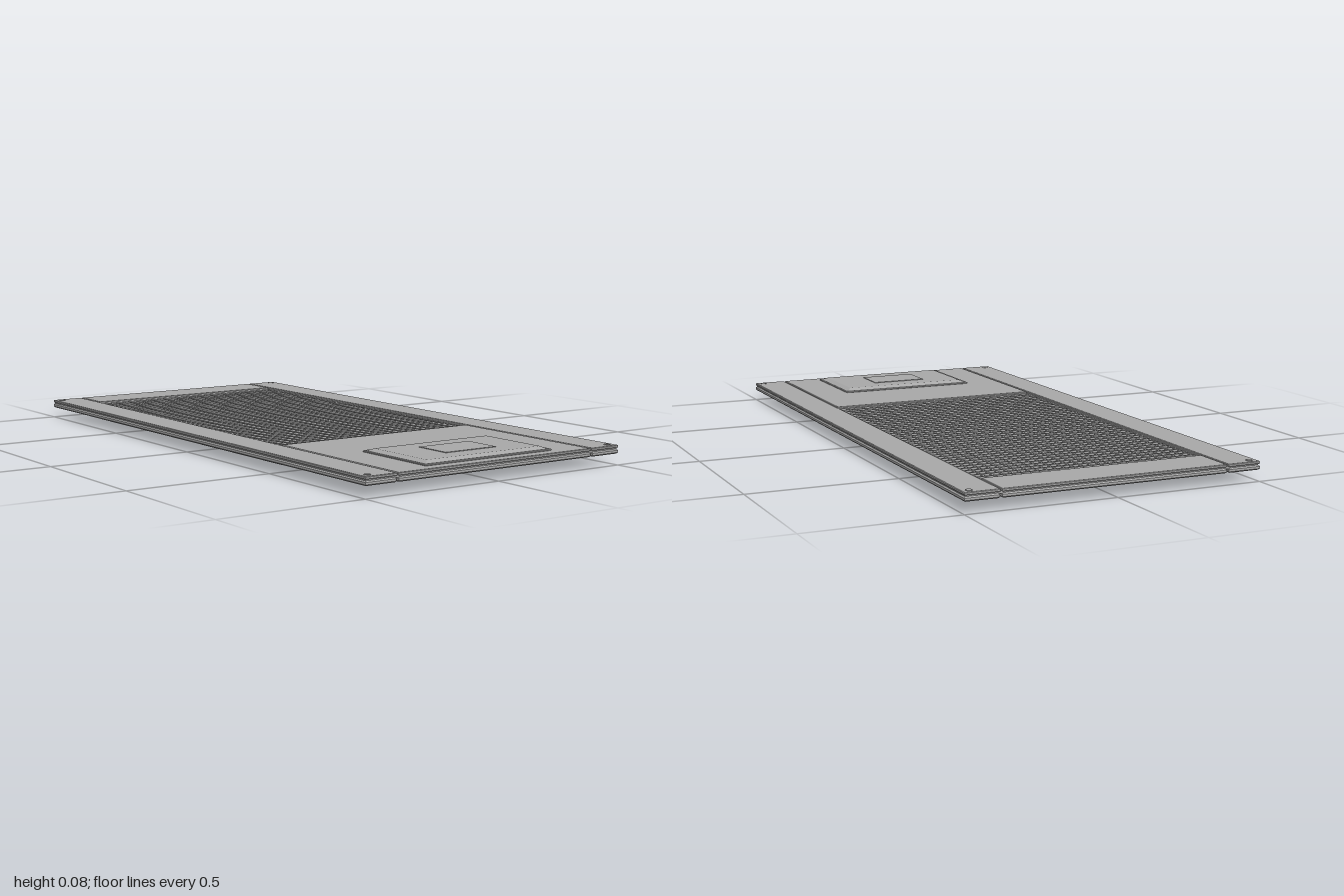
import * as THREE from 'three';

export function createModel() {
  const model = new THREE.Group();
  const grey = new THREE.MeshStandardMaterial({ color: 0xa8a8a8 });
  grey.name = 'grey metal';

  const add = (geometry, name) => {
    const mesh = new THREE.Mesh(geometry, grey);
    mesh.name = name;
    model.add(mesh);
    return mesh;
  };
  const rect = (x0, x1, z0, z1, Kind = THREE.Shape) =>
    new Kind([[x0, -z1], [x1, -z1], [x1, -z0], [x0, -z0]].map(p => new THREE.Vector2(...p)));
  // Flat slab drawn in x/z and raised from y0 to y1, with an optional bevel
  const slab = (shape, y0, y1, name, bevel = 0) => {
    const geometry = new THREE.ExtrudeGeometry(shape, {
      depth: y1 - y0 - 2 * bevel, bevelEnabled: bevel > 0, bevelSize: bevel,
      bevelThickness: bevel, bevelOffset: -bevel, bevelSegments: 1, curveSegments: 40,
    });
    geometry.rotateX(-Math.PI / 2).translate(0, y0 + bevel, 0);
    return add(geometry, name);
  };

  const back = -0.845, front = 0.39, half = 0.38;

  // Core sheet between the two panel layers, open under the grille
  const core = rect(-0.496, 0.496, -0.996, 0.996);
  core.holes.push(rect(-half, half, back, front, THREE.Path));
  slab(core, 0.05, 0.058, 'coreSheet');

  // Upper and lower layers: two side rails and two end panels with seams between
  for (const [y0, y1, bevel, layer] of [[0.037, 0.052, 0.004, 'lower'], [0.056, 0.065, 0.002, 'upper']]) {
    const edge = layer === 'lower' ? 0.388 : 0.386;
    slab(rect(edge, 0.5, -1, 1), y0, y1, layer + 'LeftRail', bevel);
    slab(rect(-0.5, -edge, -1, 1), y0, y1, layer + 'RightRail', bevel);
    slab(rect(-half, half, front, 1), y0, y1, layer + 'FrontPanel', bevel);
    slab(rect(-half, half, -1, back - 0.006), y0, y1, layer + 'BackPanel', bevel);
  }

  // Block below the grille with two round openings
  const block = rect(-half, half, back, front);
  for (const z of [-0.545, 0.06]) {
    const hole = new THREE.Path();
    hole.absarc(0, -z, 0.297, 0, Math.PI * 2, true);
    block.holes.push(hole);
  }
  slab(block, 0, 0.05, 'ventBlock');

  // Grille of crossed bars
  const columns = 25, rows = 40, bar = 0.008;
  const grille = new THREE.Group();
  grille.name = 'grille';
  model.add(grille);
  const lengthBar = new THREE.BoxGeometry(bar, 0.006, front - back);
  const crossBar = new THREE.BoxGeometry(half * 2, 0.006, bar);
  for (let i = 0; i <= columns; i++) {
    const mesh = add(lengthBar, 'lengthBar');
    mesh.position.set(-half + bar / 2 + (i / columns) * (2 * half - bar), 0.054, (front + back) / 2);
    grille.add(mesh);
  }
  for (let i = 0; i <= rows; i++) {
    const mesh = add(crossBar, 'crossBar');
    mesh.position.set(0, 0.056, back + bar / 2 + (i / rows) * (front - back - bar));
    grille.add(mesh);
  }

  // Raised front plate with sloping edges
  slab(rect(-0.25, 0.25, 0.65, 0.96), 0.064, 0.071, 'plateBase', 0.002);
  const top = new THREE.BoxGeometry(0.48, 0.007, 0.29);
  const p = top.attributes.position;
  for (let i = 0; i < p.count; i++) {
    if (p.getY(i) > 0) p.setXYZ(i, p.getX(i) * 0.94, p.getY(i), p.getZ(i) * 0.88);
  }
  const plateTop = top.toNonIndexed();
  plateTop.computeVertexNormals();
  add(plateTop, 'plateTop').position.set(0, 0.0745, 0.805);
  add(new THREE.BoxGeometry(0.2, 0.002, 0.13), 'plateInset').position.set(0, 0.079, 0.805);

  // Corner screws
  const screw = new THREE.CylinderGeometry(0.011, 0.011, 0.003, 16);
  for (const x of [-1, 1]) for (const z of [-1, 1]) {
    add(screw, 'cornerScrew').position.set(x * 0.475, 0.065, z * 0.975);
  }
  return model;
}
